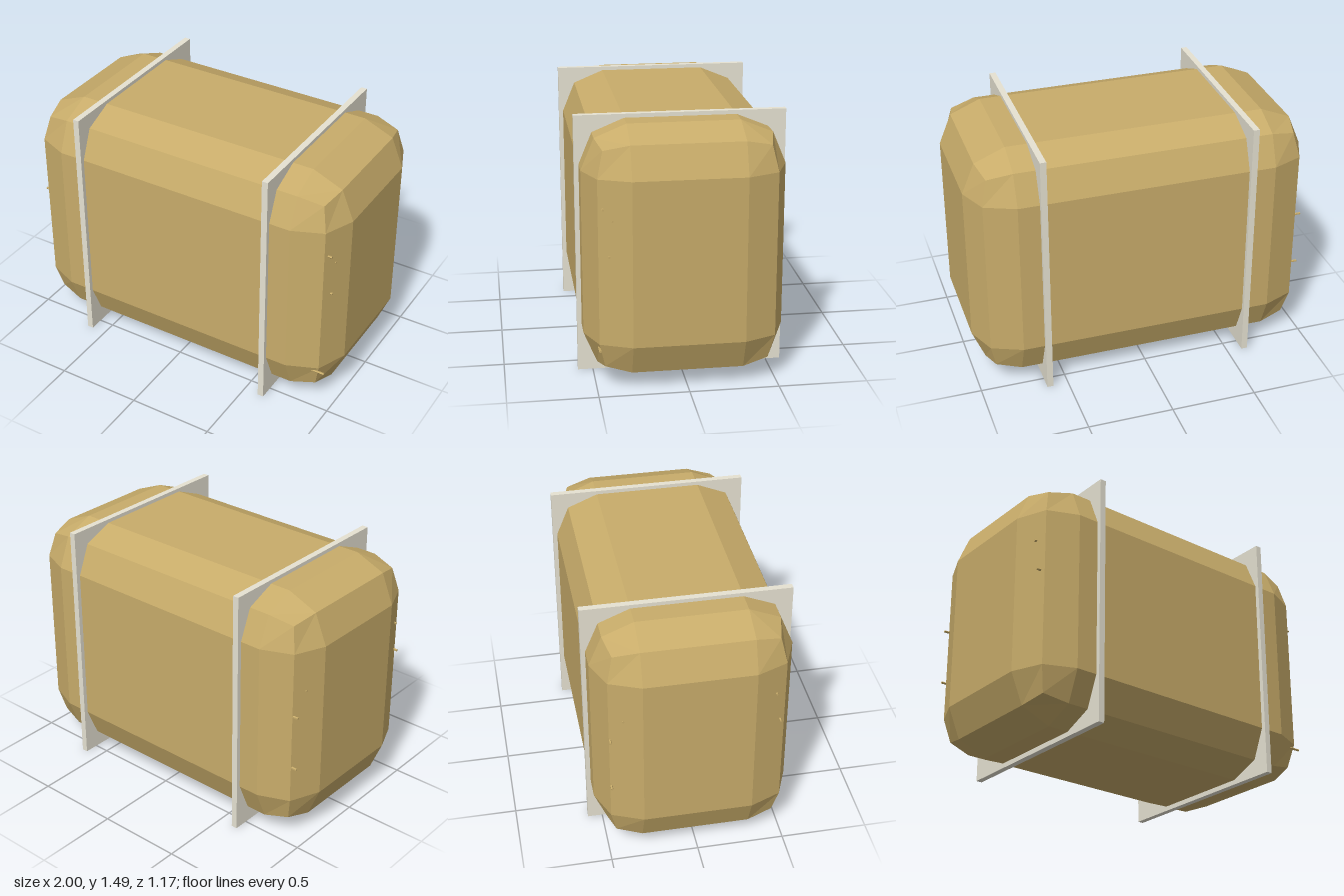
import * as THREE from 'three';
import { RoundedBoxGeometry } from 'three/addons/geometries/RoundedBoxGeometry.js';

export function createModel() {
  const model = new THREE.Group();
  model.name = 'hayBale';

  const hay = new THREE.MeshStandardMaterial({ color: 0xc8ac6a, flatShading: true });
  hay.name = 'hay';
  const twine = new THREE.MeshStandardMaterial({ color: 0xe6e2d2, flatShading: true });
  twine.name = 'twine';

  const add = (name, geometry, material, x, y, z) => {
    const mesh = new THREE.Mesh(geometry, material);
    mesh.name = name;
    mesh.position.set(x, y, z);
    model.add(mesh);
    return mesh;
  };

  // Bale body with two-step rounded edges
  add('bale', new RoundedBoxGeometry(2, 1.436, 1.118, 1, 0.25), hay, 0, 0.746, 0);

  // Two flat bands around the bale
  const band = new THREE.BoxGeometry(0.036, 1.486, 1.168);
  for (const side of [-1, 1]) {
    add(side > 0 ? 'leftBand' : 'rightBand', band, twine, side * 0.608, 0.743, 0);
  }

  // Loose straws poking out of the end corners: [end, y, z]
  const straw = new THREE.CylinderGeometry(0.007, 0.007, 0.08, 5);
  straw.rotateZ(Math.PI / 2);
  const straws = [
    [1, 1.055, 0.46], [1, 0.99, 0.41], [1, 0.79, 0.43], [1, 0.25, 0.485],
    [-1, 1.035, 0.43], [-1, 0.845, 0.46],
    [-1, 0.97, -0.41], [-1, 0.83, -0.48], [-1, 0.5, -0.48],
  ];
  for (const [end, y, z] of straws) add('straw', straw, hay, end * 0.921, y, z);

  return model;
}
